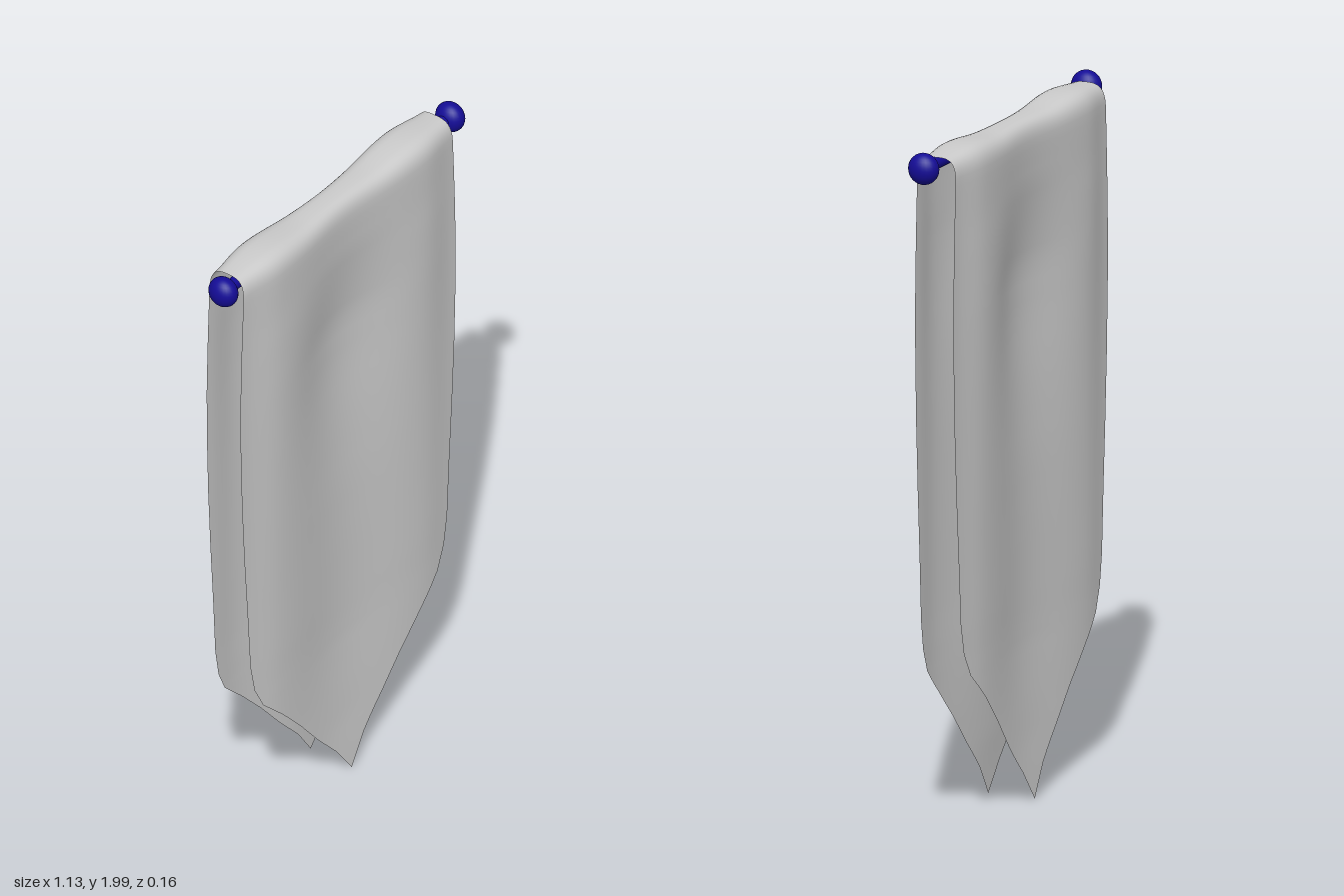
import * as THREE from 'three';

// [y, half width, depth at centre, depth at the side folds]
const PROFILE = [
  [0.01, 0, 0.073, 0.073], [0.1, 0.065, 0.067, 0.072], [0.19, 0.15, 0.06, 0.076],
  [0.29, 0.235, 0.055, 0.074], [0.38, 0.32, 0.05, 0.074], [0.46, 0.405, 0.046, 0.074],
  [0.53, 0.44, 0.045, 0.074], [0.62, 0.457, 0.045, 0.075], [0.8, 0.468, 0.045, 0.075],
  [1.0, 0.482, 0.043, 0.076], [1.2, 0.493, 0.036, 0.077], [1.4, 0.499, 0.026, 0.079],
  [1.55, 0.5, 0.025, 0.081], [1.7, 0.496, 0.042, 0.081], [1.8, 0.492, 0.053, 0.079],
  [1.9, 0.487, 0.057, 0.079],
];
const EDGE_DEPTH = 0.06, FOLD_X = 0.33, TOP = PROFILE[PROFILE.length - 1];
const COLS = 40;

const ease = t => (1 - Math.cos(Math.PI * Math.min(Math.max(t, 0), 1))) / 2;

// Depth of the cloth: hollow in the middle, full at the folds, turned in at the edges
function depth(x, centre, fold) {
  const a = Math.abs(x);
  return a < FOLD_X
    ? THREE.MathUtils.lerp(centre, fold, ease(a / FOLD_X))
    : THREE.MathUtils.lerp(fold, EDGE_DEPTH, ease((a - FOLD_X) / 0.17));
}

// Rows of points running up the front, over the rod and down the back
function clothRows() {
  const front = [];
  for (let i = 0; i < PROFILE.length; i++) {
    const steps = i < PROFILE.length - 1 ? 3 : 1;
    for (let s = 0; s < steps; s++) {
      const next = PROFILE[Math.min(i + 1, PROFILE.length - 1)];
      const [y, w, c, f] = PROFILE[i].map((v, k) => THREE.MathUtils.lerp(v, next[k], s / steps));
      front.push(u => [u * w, y, depth(u * w, c, f)]);
    }
  }
  const arch = [];
  const N = 20;
  for (let i = 1; i < N; i++) {
    const a = Math.PI * i / N, c = Math.cos(a), s = Math.sin(a);
    arch.push(u => {
      const x = u * (TOP[1] - 0.007 * s);
      const rise = 0.078 + 0.012 * ease(1 - Math.abs(Math.abs(x) - FOLD_X) / 0.2);
      return [x, TOP[0] + rise * Math.pow(s, 0.65),
        depth(x, TOP[2], TOP[3]) * Math.sign(c) * Math.pow(Math.abs(c), 0.65)];
    });
  }
  const back = front.map(row => u => {
    const [x, y, z] = row(u);
    return [x, y, -z];
  }).reverse();
  return [...front, ...arch, ...back];
}

function clothGeometry() {
  const rows = clothRows(), pos = [], index = [];
  rows.forEach((row, r) => {
    for (let c = 0; c <= COLS; c++) pos.push(...row(c / COLS * 2 - 1));
    if (r === 0) return;
    for (let c = 0; c < COLS; c++) {
      const a = (r - 1) * (COLS + 1) + c, b = a + COLS + 1;
      index.push(a, a + 1, b + 1, a, b + 1, b);
    }
  });
  const g = new THREE.BufferGeometry();
  g.setAttribute('position', new THREE.Float32BufferAttribute(pos, 3));
  g.setIndex(index);
  g.computeVertexNormals();
  return g;
}

export function createModel() {
  const group = new THREE.Group();
  const add = (name, geometry, material) => {
    const mesh = new THREE.Mesh(geometry, material);
    mesh.name = name;
    group.add(mesh);
    return mesh;
  };
  const fabric = new THREE.MeshStandardMaterial({ color: 0xcccccc, side: THREE.DoubleSide });
  const blue = new THREE.MeshStandardMaterial({ color: 0x140c96 });

  // Pointed banner cloth hung over the rod
  add('bannerCloth', clothGeometry(), fabric);

  // Rod with a rounded knob at each end
  const rod = add('rod', new THREE.CylinderGeometry(0.019, 0.019, 1.04, 20), blue);
  rod.rotation.z = Math.PI / 2;
  rod.position.set(0, 1.955, 0.02);
  for (const side of [-1, 1]) {
    const knob = add(side > 0 ? 'leftKnob' : 'rightKnob', new THREE.SphereGeometry(0.046, 24, 16), blue);
    knob.scale.x = 0.78;
    knob.position.set(side * 0.527, 1.955, 0.02);
  }
  return group;
}
